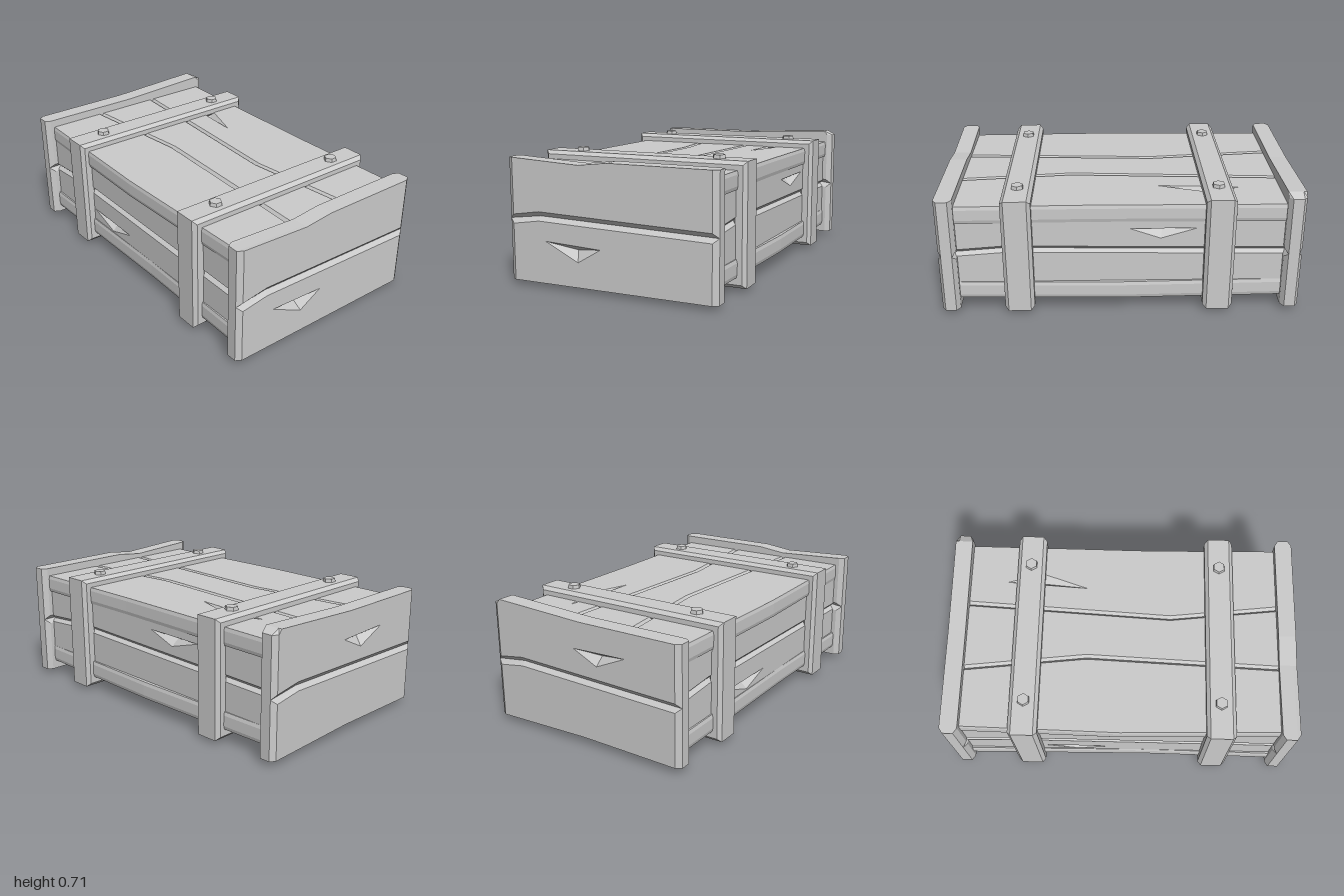
import * as THREE from 'three';

const material = new THREE.MeshStandardMaterial({ color: 0xcccccc, flatShading: true, side: THREE.DoubleSide });

// Plank from a lower and an upper edge (left to right), outer face at z = 0.
// bevel = [ends, lower edge, upper edge]; gash = triangle cut into the outer face.
function plankGeometry(lower, upper, thickness, bevel, gash) {
  const [be, bl, bu] = bevel;
  const depth = 0.02;
  const outline = [...lower, ...[...upper].reverse()];
  const insetEdge = (edge, dv) => edge.map(([u, v], i) =>
    [u + (i === 0 ? be : i === edge.length - 1 ? -be : 0), v + dv]);
  const inset = [...insetEdge(lower, bl), ...insetEdge(upper, -bu).reverse()];
  const rings = [[inset, -thickness], [outline, depth - thickness], [outline, -depth], [inset, 0]]
    .map(([pts, z]) => pts.map(([u, v]) => [u, v, z]));
  const out = [];
  const tri = (a, b, c) => out.push(...a, ...b, ...c);

  // Sides
  const n = outline.length;
  for (let r = 0; r < 3; r++) {
    for (let i = 0; i < n; i++) {
      const j = (i + 1) % n;
      tri(rings[r][i], rings[r][j], rings[r + 1][j]);
      tri(rings[r][i], rings[r + 1][j], rings[r + 1][i]);
    }
  }
  // Caps, the outer one with the gash opening
  const vec = (pts) => pts.map(([u, v]) => new THREE.Vector2(u, v));
  const hole = gash ? gash.map(([u, v]) => [u, v, 0]) : [];
  const front = [...rings[3], ...hole];
  for (const [a, b, c] of THREE.ShapeUtils.triangulateShape(vec(inset), gash ? [vec(gash)] : []))
    tri(front[a], front[b], front[c]);
  for (const [a, b, c] of THREE.ShapeUtils.triangulateShape(vec(inset), []))
    tri(rings[0][c], rings[0][b], rings[0][a]);
  // Splintered recess
  if (gash) {
    const deep = [0, 1].map((k) => (gash[0][k] + gash[1][k] + gash[2][k]) / 3);
    for (let i = 0; i < 3; i++) tri(hole[i], hole[(i + 1) % 3], [...deep, -0.04]);
  }
  const g = new THREE.BufferGeometry();
  g.setAttribute('position', new THREE.Float32BufferAttribute(out, 3));
  g.computeVertexNormals();
  return g;
}

function wall(name, rotation, position, planks) {
  const group = new THREE.Group();
  group.name = name;
  group.rotation.set(...rotation);
  group.position.set(...position);
  planks.forEach(([lower, upper, bevel, gash], i) => {
    const mesh = new THREE.Mesh(plankGeometry(lower, upper, 0.1, bevel, gash), material);
    mesh.name = `${name}Plank${i + 1}`;
    group.add(mesh);
  });
  return group;
}

// Three wide planks for the lid and the floor; v points to the back
function slabPlanks(gash) {
  const frontEdge = [[-0.91, -0.56], [0, -0.58], [0.91, -0.56]];
  const frontSeam = [[-0.91, -0.21], [-0.2, -0.13], [0.91, -0.18]];
  const backSeam = [[-0.91, 0.19], [0.28, 0.12], [0.91, 0.19]];
  const backEdge = [[-0.91, 0.57], [0.16, 0.56], [0.91, 0.57]];
  return [
    [frontEdge, frontSeam, [0, 0.005, 0.015]],
    [frontSeam, backSeam, [0, 0.015, 0.015]],
    [backSeam, backEdge, [0, 0.015, 0.005], gash],
  ];
}

// Two planks for a long side
function sidePlanks(lowGash, highGash) {
  const seam = [[-0.91, 0.36], [-0.65, 0.38], [0.91, 0.36]];
  return [
    [[[-0.91, 0.1], [0.91, 0.1]], seam, [0, 0, 0.02], lowGash],
    [seam, [[-0.91, 0.62], [0.91, 0.62]], [0, 0.02, 0], highGash],
  ];
}

// Two tall boards for an end
function endBoards(top, bottom, lowGash, highGash) {
  const seam = [[-0.61, 0.36], [-0.42, 0.385], [0.61, 0.36]];
  return [
    [bottom, seam, [0.03, 0, 0.025], lowGash],
    [seam, top, [0.03, 0.025, 0], highGash],
  ];
}

// Closed band with bevelled rims
function strapGeometry() {
  const rect = (target, w, y0, y1) => {
    target.moveTo(-w, y0);
    target.lineTo(w, y0);
    target.lineTo(w, y1);
    target.lineTo(-w, y1);
    target.closePath();
    return target;
  };
  const shape = rect(new THREE.Shape(), 0.612, 0.02, 0.69);
  shape.holes.push(rect(new THREE.Path(), 0.53, 0.1, 0.62));
  return new THREE.ExtrudeGeometry(shape, {
    depth: 0.125, bevelEnabled: true, bevelSegments: 1,
    bevelThickness: 0.02, bevelSize: 0.02, bevelOffset: -0.02,
  }).translate(0, 0, -0.0625).rotateY(Math.PI / 2);
}

export function createModel() {
  const model = new THREE.Group();
  model.name = 'crate';
  const H = Math.PI / 2;

  // Lid and floor
  model.add(wall('lid', [-H, 0, 0], [0, 0.643, 0],
    slabPlanks([[-0.68, 0.33], [-0.21, 0.3], [-0.48, 0.39]])));
  model.add(wall('floor', [H, 0, 0], [0, 0.078, 0], slabPlanks()));

  // Long sides
  model.add(wall('frontSide', [0, 0, 0], [0, 0, 0.555],
    sidePlanks([[-0.25, 0.185], [-0.06, 0.245], [-0.45, 0.25]])));
  model.add(wall('backSide', [0, Math.PI, 0], [0, 0, -0.555],
    sidePlanks(null, [[0.22, 0.44], [0.42, 0.5], [0.05, 0.5]])));

  // Ends
  model.add(wall('leftEnd', [0, H, 0], [1, 0, 0], endBoards(
    [[-0.61, 0.69], [-0.17, 0.67], [0, 0.69], [0.61, 0.69]],
    [[-0.61, 0.025], [0.61, 0.025]],
    [[-0.18, 0.16], [-0.045, 0.24], [-0.38, 0.255]])));
  model.add(wall('rightEnd', [0, -H, 0], [-1, 0, 0], endBoards(
    [[-0.61, 0.69], [-0.56, 0.715], [0, 0.69], [0.61, 0.69]],
    [[-0.61, 0.03], [0, 0.045], [0.61, 0.035]],
    null, [[0.1, 0.47], [0.28, 0.55], [-0.05, 0.54]])));

  // Straps with hexagonal bolts above and below
  const strap = strapGeometry();
  const bolt = new THREE.CylinderGeometry(0.034, 0.039, 0.03, 6);
  for (const x of [-0.543, 0.565]) {
    const band = new THREE.Mesh(strap, material);
    band.name = 'strap';
    band.position.x = x;
    model.add(band);
    for (const z of [-0.425, 0.41]) {
      for (const top of [true, false]) {
        const head = new THREE.Mesh(bolt, material);
        head.name = 'bolt';
        head.position.set(x, top ? 0.695 : 0.015, z);
        if (!top) head.rotation.x = Math.PI;
        model.add(head);
      }
    }
  }
  return model;
}
